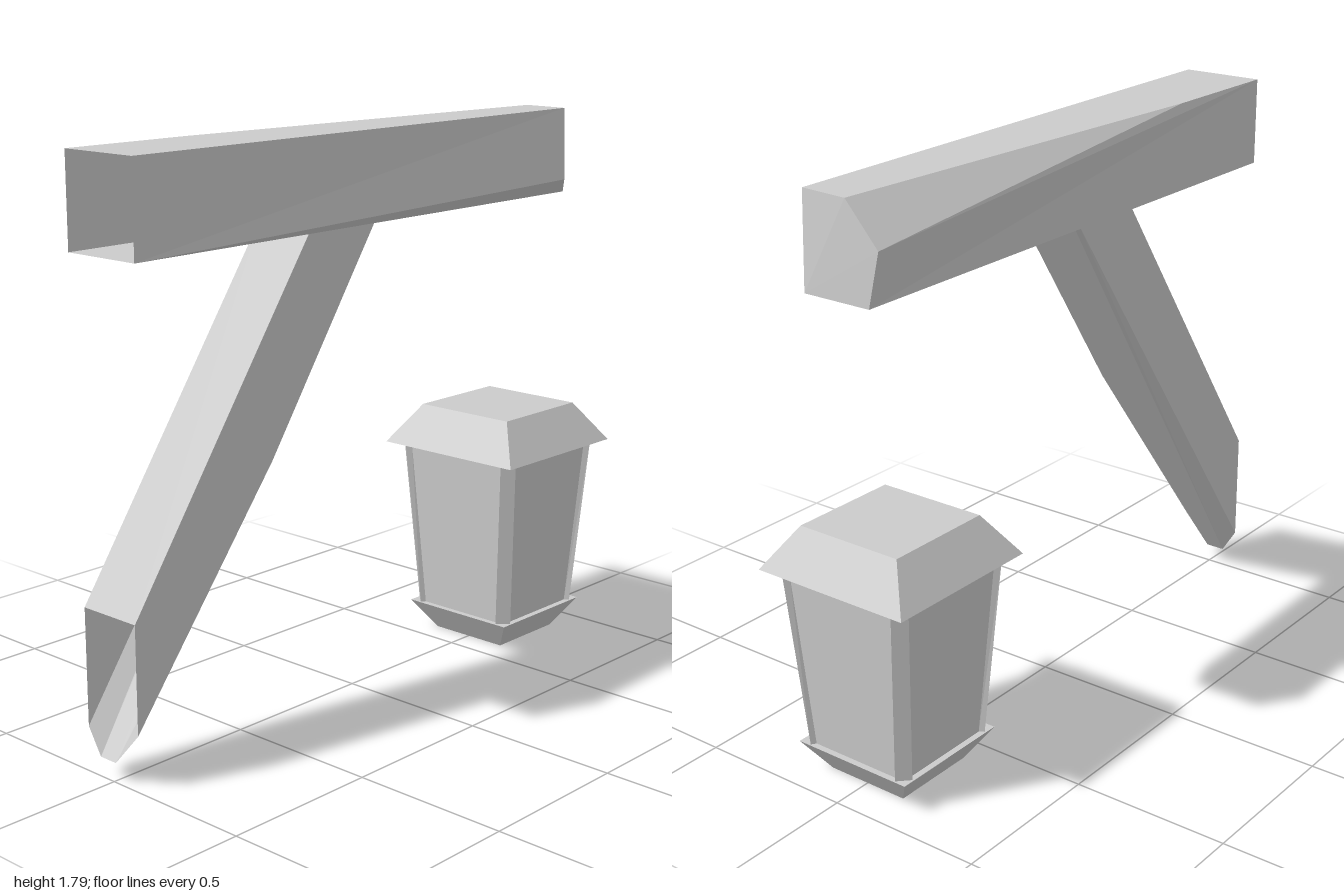
import * as THREE from 'three';

const grey = new THREE.MeshStandardMaterial({ color: 0xcccccc, flatShading: true });
const greyOpen = new THREE.MeshStandardMaterial({ color: 0xcccccc, flatShading: true, side: THREE.DoubleSide });

// Flat-shaded mesh from corner points and convex faces (corners counter-clockwise from outside)
function facetedMesh(name, points, faces, material) {
  const positions = [];
  for (const face of faces) {
    for (let i = 1; i < face.length - 1; i++) {
      positions.push(...points[face[0]], ...points[face[i]], ...points[face[i + 1]]);
    }
  }
  const geometry = new THREE.BufferGeometry();
  geometry.setAttribute('position', new THREE.Float32BufferAttribute(positions, 3));
  geometry.computeVertexNormals();
  const mesh = new THREE.Mesh(geometry, material);
  mesh.name = name;
  return mesh;
}

// Square frustum given by its half widths and height range
function frustum(name, halfTop, halfBottom, y0, y1) {
  const geometry = new THREE.CylinderGeometry(halfTop * Math.SQRT2, halfBottom * Math.SQRT2, y1 - y0, 4);
  geometry.rotateY(Math.PI / 4);
  geometry.translate(0, (y0 + y1) / 2, 0);
  const mesh = new THREE.Mesh(geometry, grey);
  mesh.name = name;
  return mesh;
}

// Repeats one corner profile (x, z) around the four corners
function ring(corner, y) {
  const points = [];
  let profile = corner;
  for (let k = 0; k < 4; k++) {
    points.push(...profile.map(([x, z]) => [x, y, z]));
    profile = profile.map(([x, z]) => [z, -x]);
  }
  return points;
}

function createBeam() {
  const points = [
    // open wall end
    [-1, 1.51, 0.15], [-1, 1.79, 0.15], [-1, 1.79, -0.12], [-1, 1.51, -0.12],
    // rough-hewn free end
    [0.87, 1.56, 0.15], [0.9, 1.79, 0.12], [0.91, 1.79, -0.04],
    [0.92, 1.67, -0.16], [0.93, 1.51, -0.13], [0.93, 1.51, 0.1],
    // start of the top back chamfer
    [-0.55, 1.79, -0.12],
  ];
  const faces = [
    [0, 4, 5, 1], [0, 9, 4], [4, 9, 5], [9, 8, 7, 6, 5],
    [1, 5, 6, 10, 2], [10, 6, 7], [2, 10, 7, 8, 3], [0, 3, 8, 9],
  ];
  return facetedMesh('beam', points, faces, greyOpen);
}

function createBrace() {
  const points = [
    // open wall end
    [-1, 0.5, 0.11], [-1, 0.17, 0.11], [-1, 0.06, 0.01],
    [-1, 0.06, -0.055], [-1, 0.14, -0.105], [-1, 0.5, -0.105],
    // end under the beam
    [-0.3, 1.51, 0.11], [-0.02, 1.51, 0.11], [-0.02, 1.51, -0.09],
    [-0.03, 1.51, -0.105], [-0.3, 1.51, -0.105],
    // tip of the front chamfer
    [-0.46, 0.86, 0.11],
  ];
  const faces = [
    [1, 11, 7, 6, 0], [1, 2, 11], [2, 3, 8, 7, 11],
    [3, 4, 9, 8], [4, 5, 10, 9], [0, 6, 10, 5],
  ];
  return facetedMesh('brace', points, faces, greyOpen);
}

function createLantern() {
  const lantern = new THREE.Group();
  lantern.name = 'lantern';
  lantern.add(frustum('lanternRoof', 0.18, 0.268, 0.67, 0.8));
  lantern.add(frustum('lanternBase', 0.205, 0.138, 0, 0.1));

  // Tapered body: chamfered corner posts with slightly recessed panes
  const bottom = ring([[0.155, 0.185], [0.165, 0.2], [0.2, 0.165], [0.185, 0.155]], 0.1);
  const top = ring([[0.19, 0.225], [0.205, 0.24], [0.24, 0.205], [0.225, 0.19]], 0.67);
  const n = bottom.length;
  const sides = bottom.map((_, i) => [i, (i + 1) % n, n + (i + 1) % n, n + i]);
  const isPane = (_, i) => i % 4 === 3;
  const points = [...bottom, ...top];
  lantern.add(facetedMesh('lanternPosts', points, sides.filter((f, i) => !isPane(f, i)), greyOpen));
  lantern.add(facetedMesh('lanternPanes', points, sides.filter(isPane), greyOpen));

  lantern.position.x = 0.73;
  return lantern;
}

export function createModel() {
  const model = new THREE.Group();
  model.name = 'hangingLantern';
  model.add(createBeam(), createBrace(), createLantern());
  return model;
}
